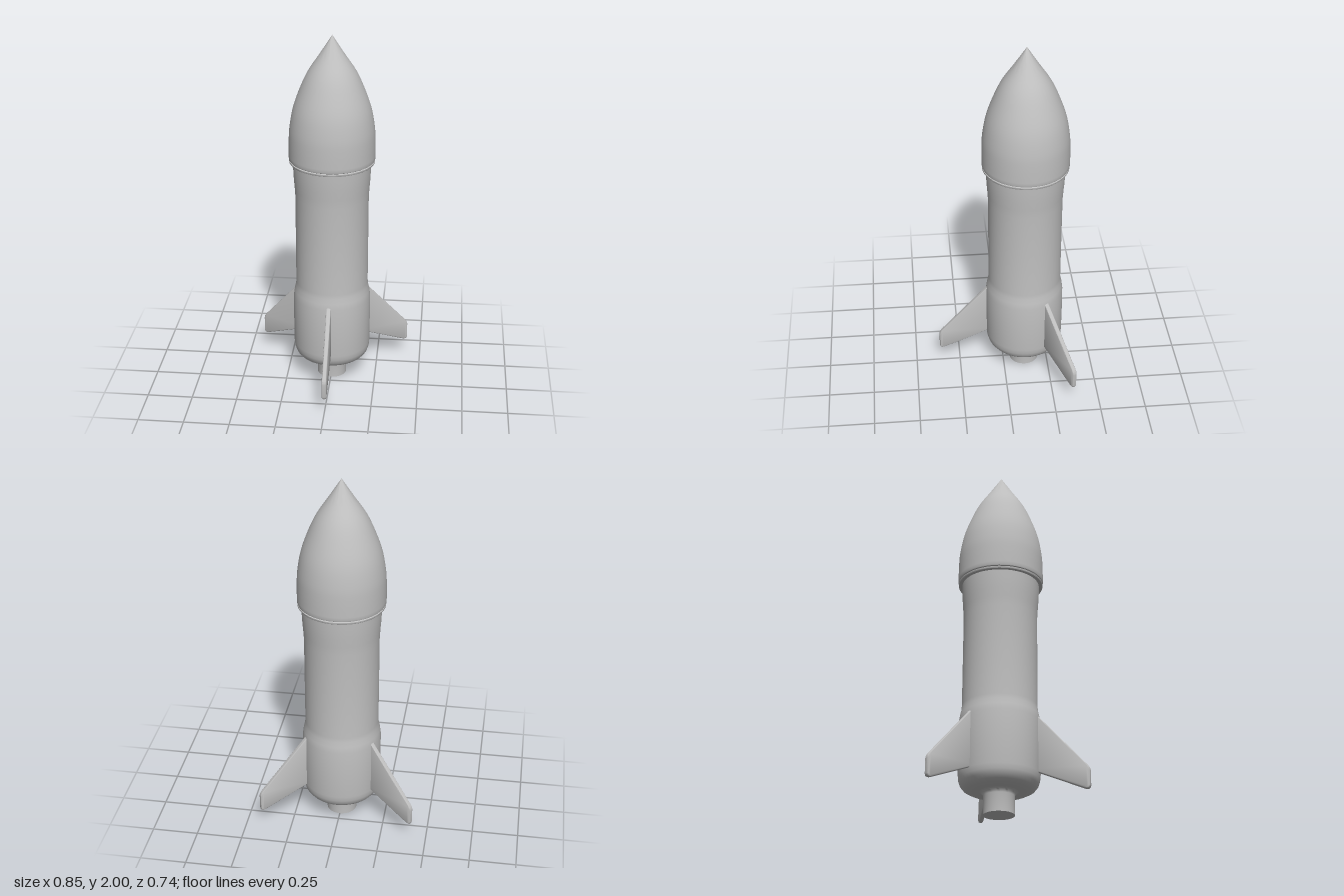
import * as THREE from 'three';
import { toCreasedNormals } from 'three/addons/utils/BufferGeometryUtils.js';

const SEGMENTS = 48;
const AXIS_Z = -0.12; // the hull axis sits behind the centre because of the front fin

export function createModel() {
  const rocket = new THREE.Group();
  rocket.name = 'rocket';
  const grey = new THREE.MeshStandardMaterial({ color: 0xbfbfbf });
  grey.name = 'hull grey';

  function add(name, geometry) {
    const mesh = new THREE.Mesh(geometry, grey);
    mesh.name = name;
    mesh.position.z = AXIS_Z;
    rocket.add(mesh);
    return mesh;
  }

  // Turned part from [radius, height] pairs, bottom to top
  function turned(name, profile) {
    const points = profile.map(([r, y]) => new THREE.Vector2(r, y));
    return add(name, toCreasedNormals(new THREE.LatheGeometry(points, SEGMENTS), 0.7));
  }

  // Engine nozzle, with a small fillet where it meets the hull
  turned('nozzle', [[0, 0], [0.082, 0], [0.082, 0.1], [0.085, 0.112], [0.093, 0.12], [0.105, 0.125], [0, 0.13]]);

  // Hull: rounded base, slight waist, flared neck
  turned('body', [
    [0, 0.123], [0.135, 0.123], [0.165, 0.127], [0.188, 0.139], [0.203, 0.158], [0.211, 0.182], [0.214, 0.21],
    [0.215, 0.35], [0.214, 0.5], [0.209, 0.535], [0.202, 0.565], [0.2, 0.59],
    [0.2, 1.1], [0.203, 1.15], [0.207, 1.2], [0.21, 1.26], [0.211, 1.31],
  ]);

  // Thin ring under the nose
  turned('collar', [[0.2, 1.302], [0.229, 1.302], [0.231, 1.305], [0.231, 1.313], [0.224, 1.316], [0.2, 1.316]]);

  // Pointed nose, smoothed through a few stations
  const nose = new THREE.SplineCurve([
    [0.233, 1.325], [0.232, 1.42], [0.227, 1.5], [0.209, 1.6], [0.175, 1.7],
    [0.13, 1.8], [0.0645, 1.9], [0, 2],
  ].map(([r, y]) => new THREE.Vector2(r, y)));
  const noseProfile = nose.getPoints(28).map((p) => [Math.max(p.x, 0), p.y]);
  turned('nose', [[0.2, 1.316], [0.226, 1.316], [0.231, 1.319], ...noseProfile]);

  // Swept fin outline: x runs outwards from the axis
  const outline = new THREE.Shape();
  outline.moveTo(0.18, 0.22);
  outline.lineTo(0.455, 0.1);
  outline.quadraticCurveTo(0.483, 0.09, 0.485, 0.115);
  outline.lineTo(0.485, 0.19);
  outline.quadraticCurveTo(0.485, 0.207, 0.472, 0.222);
  outline.lineTo(0.18, 0.55);
  outline.closePath();
  const finGeometry = toCreasedNormals(new THREE.ExtrudeGeometry(outline, {
    depth: 0.004, bevelThickness: 0.011, bevelSize: 0.009, bevelOffset: -0.009, bevelSegments: 4, curveSegments: 6,
  }).translate(0, 0, -0.002), 0.7);

  // Three fins, one facing the front
  ['frontFin', 'leftFin', 'rightFin'].forEach((name, i) => {
    add(name, finGeometry).rotation.y = -Math.PI / 2 + (i * 2 * Math.PI) / 3;
  });

  return rocket;
}
